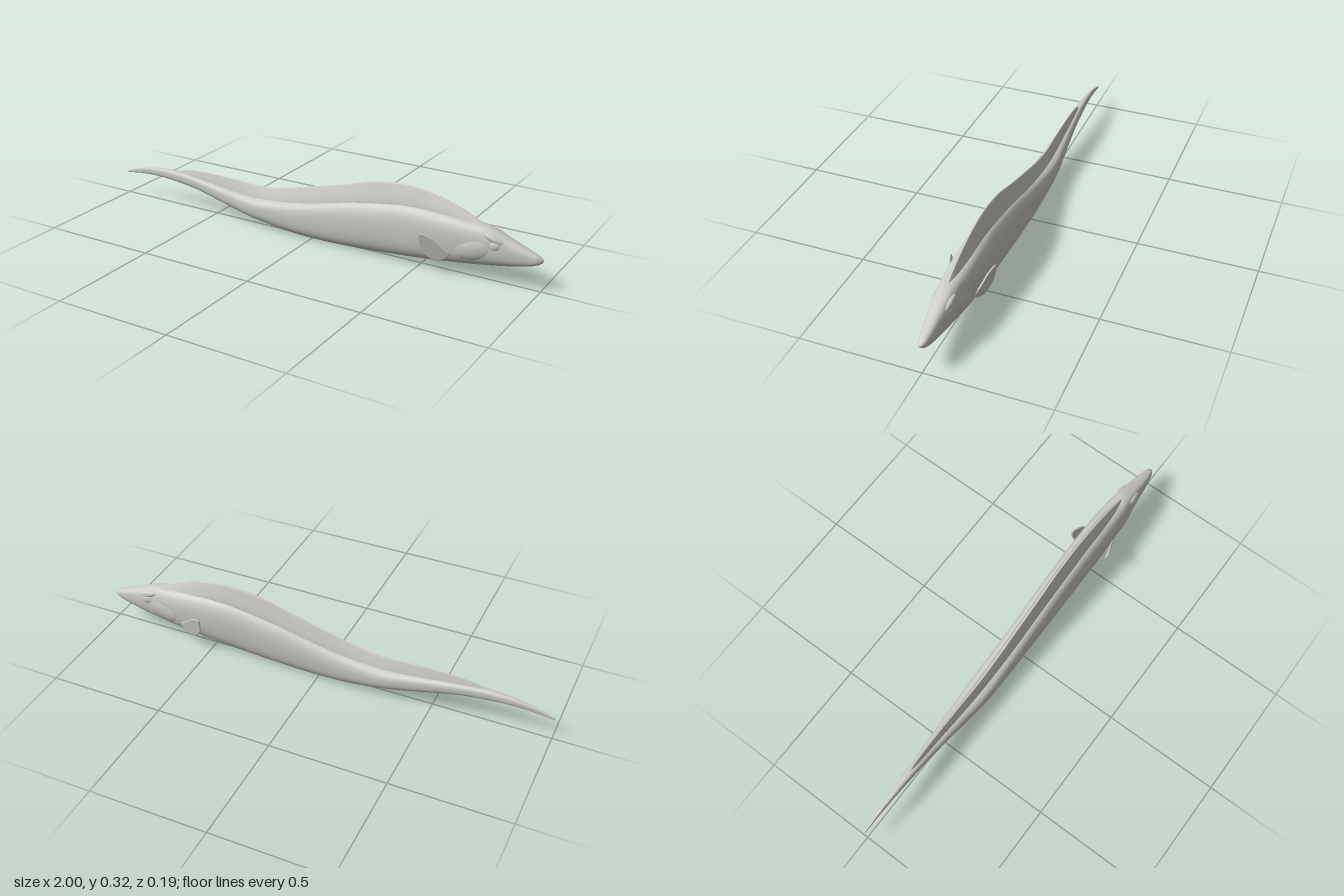
import * as THREE from 'three';
import { mergeVertices } from 'three/addons/utils/BufferGeometryUtils.js';

// Smooth interpolation of column c in a table whose first column is x
function sample(table, x, c) {
  const n = table.length;
  let i = 0;
  while (i < n - 2 && x > table[i + 1][0]) i++;
  const slope = k => {
    const a = table[Math.max(k - 1, 0)], b = table[Math.min(k + 1, n - 1)];
    return (b[c] - a[c]) / (b[0] - a[0]);
  };
  const [p, q] = [table[i], table[i + 1]];
  const h = q[0] - p[0], t = (x - p[0]) / h, t2 = t * t, t3 = t2 * t;
  return (2 * t3 - 3 * t2 + 1) * p[c] + (t3 - 2 * t2 + t) * h * slope(i)
    + (3 * t2 - 2 * t3) * q[c] + (t3 - t2) * h * slope(i + 1);
}

// Skin closed rings of [y, z] points along x, with both ends capped
function loft(x0, x1, steps, sides, ring) {
  const pos = [], index = [];
  for (let i = 0; i <= steps; i++) {
    const x = x0 + (x1 - x0) * i / steps;
    for (let j = 0; j < sides; j++) {
      const [y, z] = ring(x, j / sides * Math.PI * 2);
      pos.push(x, y, z);
    }
  }
  for (let i = 0; i < steps; i++) {
    for (let j = 0; j < sides; j++) {
      const k = (j + 1) % sides;
      const a = i * sides + j, b = i * sides + k, c = a + sides, d = b + sides;
      index.push(a, c, b, b, c, d);
    }
  }
  for (const [i, x, tip] of [[0, x0, false], [steps, x1, true]]) {
    let cy = 0;
    for (let j = 0; j < sides; j++) cy += pos[(i * sides + j) * 3 + 1] / sides;
    const centre = pos.length / 3;
    pos.push(x, cy, 0);
    for (let j = 0; j < sides; j++) {
      const a = i * sides + j, b = i * sides + (j + 1) % sides;
      index.push(centre, tip ? b : a, tip ? a : b);
    }
  }
  const g = new THREE.BufferGeometry();
  g.setAttribute('position', new THREE.Float32BufferAttribute(pos, 3));
  g.setIndex(index);
  g.computeVertexNormals();
  return g;
}

// x, belly y, back y, half width
const BODY = [
  [-1, 0.1, 0.111, 0.003], [-0.9, 0.113, 0.14, 0.008], [-0.8, 0.116, 0.154, 0.014],
  [-0.7, 0.11, 0.158, 0.02], [-0.6, 0.098, 0.152, 0.026], [-0.4, 0.055, 0.134, 0.042],
  [-0.28, 0.032, 0.129, 0.053], [-0.1, 0.008, 0.147, 0.055], [0.05, 0.003, 0.177, 0.056],
  [0.2, 0.008, 0.212, 0.058], [0.4, 0.022, 0.245, 0.06], [0.5, 0.032, 0.249, 0.061],
  [0.6, 0.043, 0.244, 0.06], [0.7, 0.056, 0.233, 0.055], [0.78, 0.067, 0.224, 0.047],
  [0.88, 0.084, 0.187, 0.035], [0.95, 0.1, 0.16, 0.025], [0.985, 0.112, 0.146, 0.017],
  [1, 0.123, 0.136, 0.007],
];

// x, crest y, half width at the base
const CREST = [
  [-0.72, 0.152, 0.005], [-0.66, 0.175, 0.011], [-0.55, 0.183, 0.014], [-0.4, 0.182, 0.019],
  [-0.27, 0.177, 0.024], [-0.15, 0.193, 0.026], [0, 0.23, 0.027], [0.15, 0.27, 0.027],
  [0.28, 0.308, 0.028], [0.4, 0.322, 0.028], [0.5, 0.316, 0.027], [0.6, 0.294, 0.026],
  [0.7, 0.258, 0.02], [0.78, 0.217, 0.01],
];

const power = (v, p) => Math.sign(v) * Math.abs(v) ** p;

function bodyRing(x, t) {
  const low = sample(BODY, x, 1), high = sample(BODY, x, 2), w = sample(BODY, x, 3);
  const s = power(Math.sin(t), 0.8);
  return [(low + high) / 2 + s * (high - low) / 2, w * power(Math.cos(t), 0.72)];
}

// Straight-flanked wedge with a narrow rounded crest, sunk into the back
function crestRing(x, t) {
  const top = sample(CREST, x, 1), w = sample(CREST, x, 2);
  const base = Math.min(sample(BODY, x, 2), top) - 0.02;
  const s = (Math.sin(t) + 1) / 2;
  return [base + s * (top - base), w * power(Math.cos(t), 0.3) * (1.2 - 1.05 * s)];
}

// Paddle outline, swept so that it flares away from the flank
function pectoralGeometry() {
  const s = new THREE.Shape();
  s.moveTo(0.642, 0.1);
  s.quadraticCurveTo(0.61, 0.118, 0.58, 0.152);
  s.quadraticCurveTo(0.555, 0.167, 0.536, 0.17);
  s.quadraticCurveTo(0.526, 0.168, 0.53, 0.14);
  s.quadraticCurveTo(0.53, 0.1, 0.557, 0.078);
  s.quadraticCurveTo(0.582, 0.058, 0.603, 0.066);
  s.quadraticCurveTo(0.638, 0.075, 0.642, 0.1);
  const g = new THREE.ExtrudeGeometry(s, {
    depth: 0.002, bevelThickness: 0.003, bevelSize: 0.003, bevelSegments: 3, curveSegments: 10,
  });
  const p = g.attributes.position;
  for (let i = 0; i < p.count; i++) {
    p.setZ(i, p.getZ(i) + 0.052 + 0.257 * (0.64 - p.getX(i)) + 0.147 * (p.getY(i) - 0.09));
  }
  g.deleteAttribute('normal');
  g.deleteAttribute('uv');
  const smooth = mergeVertices(g, 1e-5);
  smooth.computeVertexNormals();
  return smooth;
}

export function createModel() {
  const skin = new THREE.MeshStandardMaterial({ color: 0xcbcbc6 });
  skin.name = 'paleGreySkin';
  const model = new THREE.Group();
  model.name = 'eelFish';

  const add = (parent, name, geometry) => {
    const mesh = new THREE.Mesh(geometry, skin);
    mesh.name = name;
    parent.add(mesh);
    return mesh;
  };

  add(model, 'body', loft(-1, 1, 160, 40, bodyRing));
  add(model, 'dorsalFin', loft(-0.72, 0.78, 120, 36, crestRing));

  // Paired features of the head and flanks
  const ball = new THREE.SphereGeometry(1, 28, 18);
  const pectoral = pectoralGeometry();
  for (const [side, sign] of [['front', 1], ['back', -1]]) {
    const half = new THREE.Group();
    half.name = side + 'SideFeatures';
    half.scale.z = sign;
    model.add(half);

    const blob = (name, at, size, tilt, yaw) => {
      const mesh = add(half, name, ball);
      mesh.position.set(...at);
      mesh.scale.set(...size);
      mesh.rotation.set(0, yaw, tilt);
    };
    blob('gillCover', [0.735, 0.135, 0.034], [0.1, 0.05, 0.0225], 0.2, 0.1);
    blob('brow', [0.815, 0.187, 0.031], [0.045, 0.015, 0.013], -0.35, 0.12);
    blob('eye', [0.82, 0.162, 0.034], [0.025, 0.021, 0.012], 0, 0.12);
    add(half, 'pectoralFin', pectoral);
  }
  return model;
}
